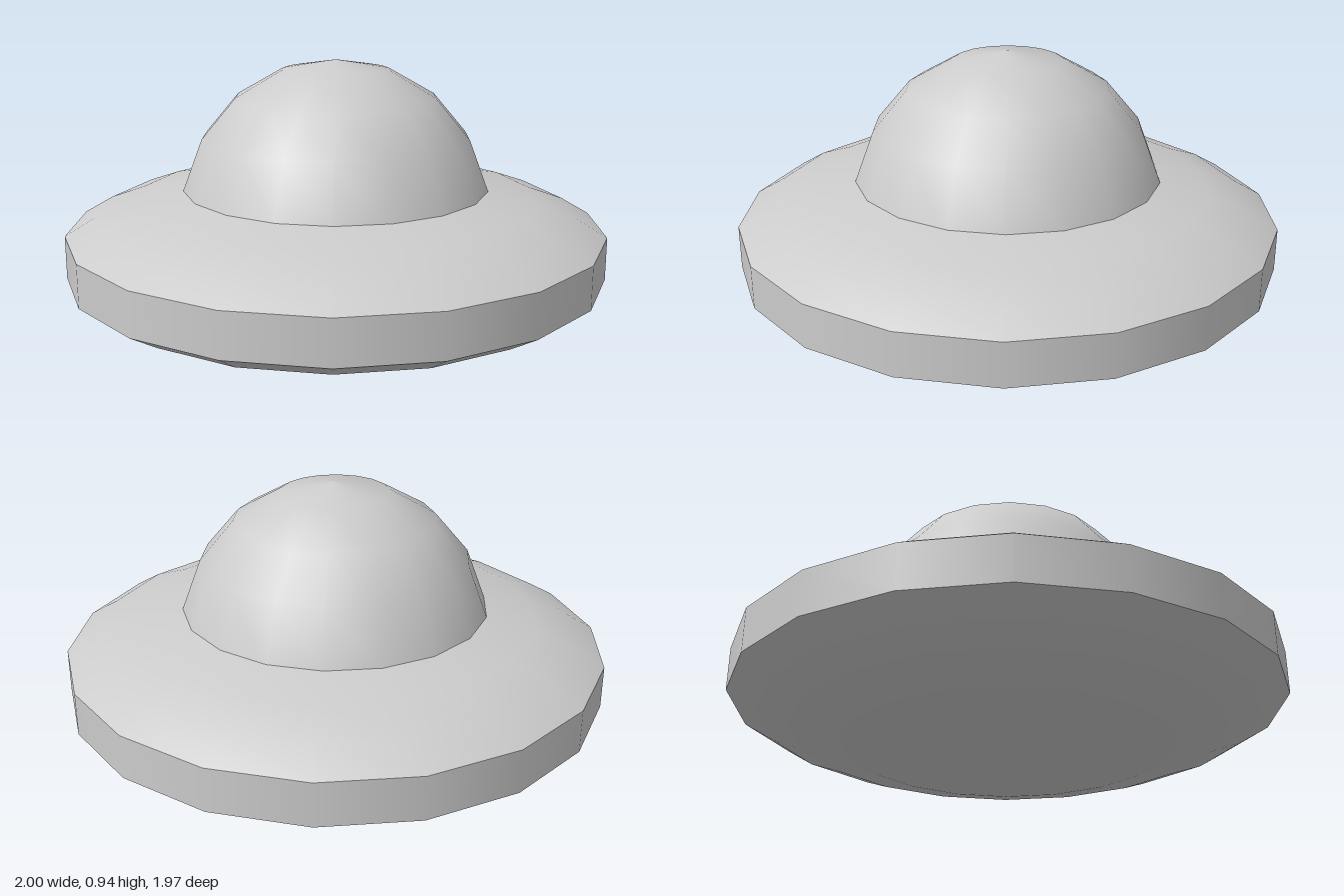
import * as THREE from 'three';

const SIDES = 18;

// Revolves a [radius, height] profile, listed from bottom to top, with a corner on +x
function revolve(name, profile, material) {
  const points = profile.map(([r, y]) => new THREE.Vector2(r, y));
  const mesh = new THREE.Mesh(new THREE.LatheGeometry(points, SIDES, Math.PI / 2), material);
  mesh.name = name;
  return mesh;
}

export function createModel() {
  const group = new THREE.Group();
  group.name = 'flyingSaucer';
  const grey = new THREE.MeshStandardMaterial({ color: 0xcccccc });

  // Separate parts keep the edges between them sharp
  group.add(
    // Shallow bowl with a flat base
    revolve('underside', [[0, 0], [0.57, 0], [0.75, 0.04], [0.89, 0.092], [1, 0.158]], grey),
    // Straight outer band
    revolve('rim', [[1, 0.158], [1, 0.317]], grey),
    // Sloping upper hull
    revolve('upperHull', [[1, 0.317], [0.89, 0.382], [0.75, 0.433], [0.567, 0.47]], grey),
    // Rounded cockpit dome
    revolve('dome', [[0.567, 0.47], [0.495, 0.66], [0.37, 0.808], [0.198, 0.907], [0, 0.942]], grey)
  );
  return group;
}
